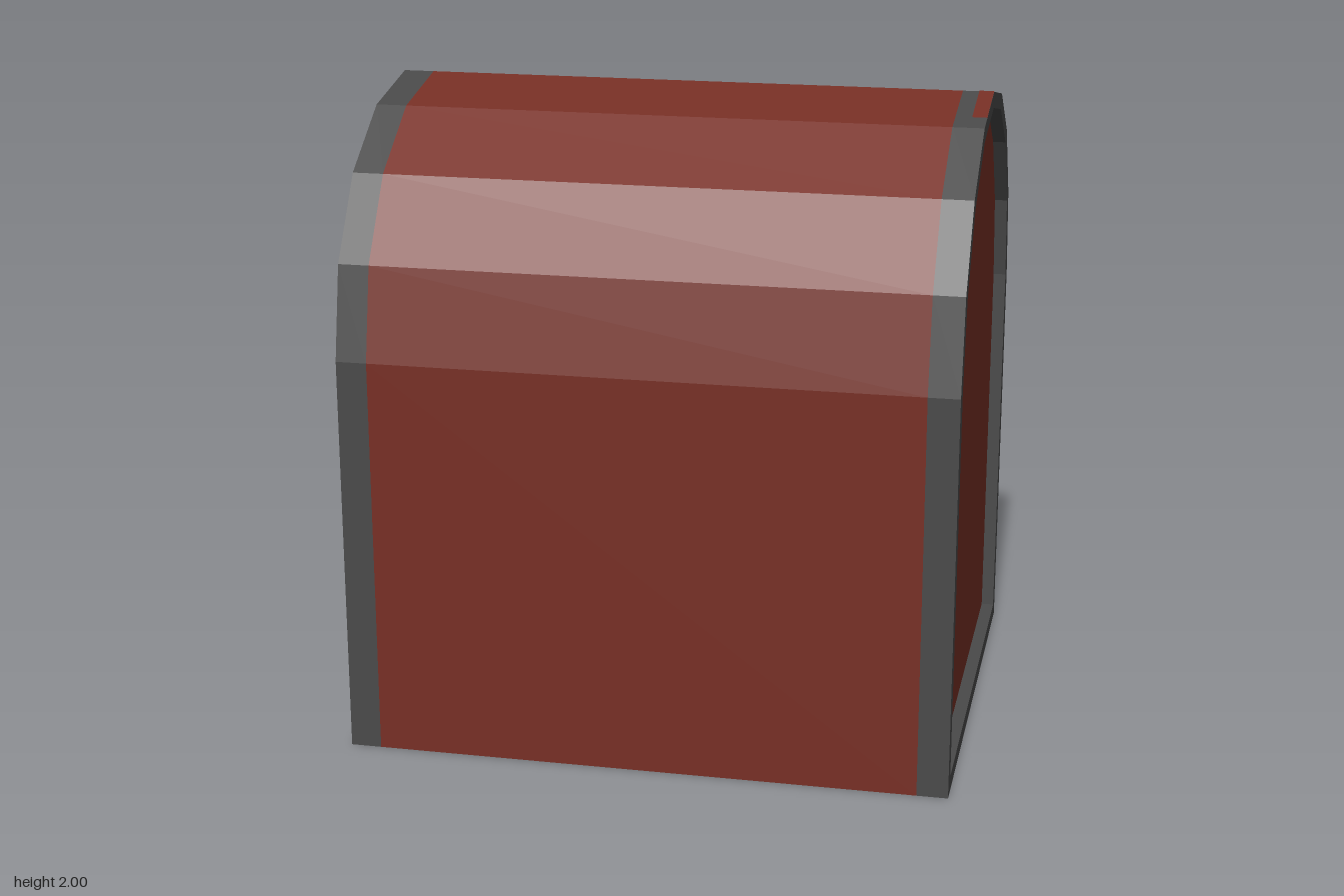
import * as THREE from 'three';

const red = new THREE.MeshStandardMaterial({ color: 0x772f25 });
red.name = 'redPanel';
const grey = new THREE.MeshStandardMaterial({ color: 0x4a4a4a });
grey.name = 'greyTrim';

const X = 0.935, PANEL_X = 0.895, SPRING = 1.25;

// Barrel-topped outline as [z, y], from back bottom over the lid to front bottom
function outline(radius, floor) {
  const pts = [[-radius, floor]];
  for (let i = 0; i <= 8; i++) {
    const a = Math.PI - (i * Math.PI) / 8;
    pts.push([radius * Math.cos(a), SPRING + radius * Math.sin(a)]);
  }
  pts.push([radius, floor]);
  return pts;
}

// Collects flat polygons into one mesh
class Faces {
  constructor() { this.pos = []; }
  poly(pts, flip = false) {
    const p = flip ? [...pts].reverse() : pts;
    for (let i = 1; i < p.length - 1; i++) this.pos.push(...p[0], ...p[i], ...p[i + 1]);
  }
  // Outward strip between outline points p and q, from x0 to x1
  strip(p, q, x0, x1) {
    this.poly([[x0, p[1], p[0]], [x0, q[1], q[0]], [x1, q[1], q[0]], [x1, p[1], p[0]]]);
  }
  mesh(name, material) {
    const g = new THREE.BufferGeometry();
    g.setAttribute('position', new THREE.Float32BufferAttribute(this.pos, 3));
    g.computeVertexNormals();
    const m = new THREE.Mesh(g, material);
    m.name = name;
    return m;
  }
}

export function createModel() {
  const group = new THREE.Group();
  group.name = 'chest';
  const outer = outline(0.75, 0), inner = outline(0.7, 0.05);
  const n = outer.length;

  // Chest and lid shell with trim bands near both ends
  const shell = new Faces(), bands = new Faces();
  for (let i = 0; i < n; i++) {
    const p = outer[i], q = outer[(i + 1) % n];
    if (i === n - 1) { shell.strip(p, q, -X, X); continue; }
    const w = i < 5 ? 0.855 : 0.84;
    shell.strip(p, q, -w, w);
    bands.strip(p, q, -X, -w);
    bands.strip(p, q, w, X);
  }
  group.add(shell.mesh('shell', red), bands.mesh('trimBands', grey));

  // End rims around recessed end panels
  for (const side of [1, -1]) {
    const rim = new Faces(), panel = new Faces(), flip = side < 0;
    const at = (x, p) => [side * x, p[1], p[0]];
    for (let i = 0; i < n; i++) {
      const j = (i + 1) % n;
      rim.poly([at(X, outer[i]), at(X, outer[j]), at(X, inner[j]), at(X, inner[i])], flip);
      rim.poly([at(X, inner[i]), at(X, inner[j]), at(PANEL_X, inner[j]), at(PANEL_X, inner[i])], flip);
    }
    panel.poly(inner.map((p) => at(PANEL_X, p)), flip);
    const label = side > 0 ? 'left' : 'right';
    group.add(rim.mesh(label + 'EndRim', grey), panel.mesh(label + 'EndPanel', red));
  }

  // Red patches on the trim at the crown of the lid
  const patches = new Faces();
  const lift = 0.002, crown = [0, 2 + lift], back = [-0.285, 1.943 + lift];
  patches.strip(back, crown, -X, -0.89);
  patches.strip(back, crown, 0.89, X);
  patches.strip(crown, [0.21, 1.958 + lift], 0.89, X);
  group.add(patches.mesh('crownPatches', red));

  // Seam between lid and box
  const seam = new Faces();
  seam.strip([-0.753, 1.228], [-0.753, 1.25], -0.86, 0.86);
  seam.strip([-0.753, 1.25], [-0.748, 1.275], -0.86, 0.86);
  group.add(seam.mesh('lidSeam', grey));

  // Lock plate with keyhole
  const plate = new THREE.Mesh(new THREE.BoxGeometry(0.31, 0.31, 0.008), red);
  plate.name = 'lockPlate';
  plate.position.set(0, 1.083, -0.752);
  const hole = new THREE.Shape();
  hole.moveTo(-0.08, -0.11);
  hole.lineTo(0.08, -0.11);
  hole.lineTo(0.04, 0.01);
  hole.absarc(0, 0.055, 0.056, -0.8, Math.PI + 0.8, false);
  hole.lineTo(-0.04, 0.01);
  const keyhole = new THREE.Mesh(new THREE.ShapeGeometry(hole, 6), grey);
  keyhole.name = 'keyhole';
  keyhole.rotation.y = Math.PI;
  keyhole.position.set(0, 1.08, -0.758);
  group.add(plate, keyhole);

  return group;
}
